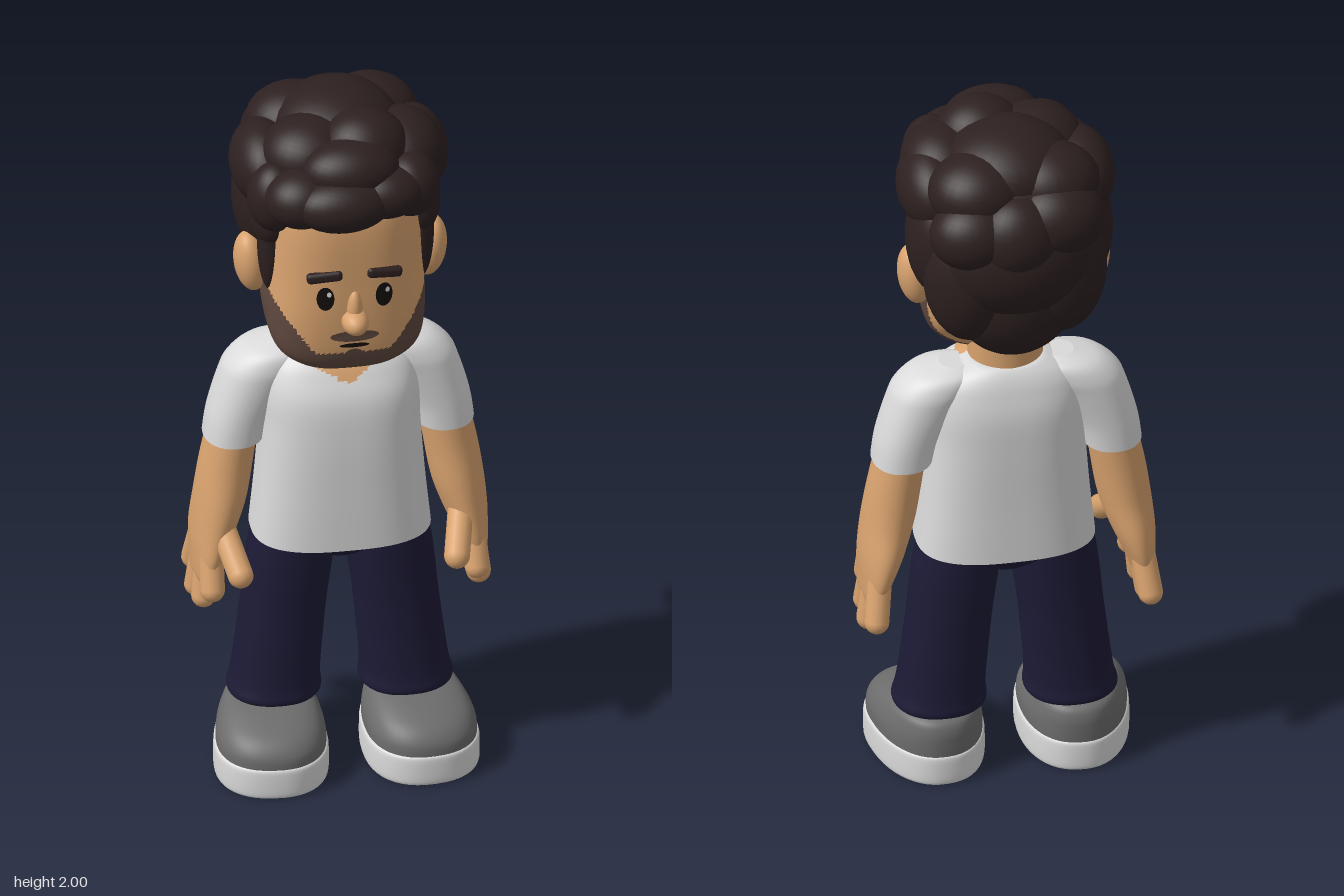
import * as THREE from 'three';
import { RoundedBoxGeometry } from 'three/addons/geometries/RoundedBoxGeometry.js';

const flat = (name, color) => Object.assign(new THREE.MeshStandardMaterial({ color }), { name });

export function createModel() {
  const root = new THREE.Group();
  root.name = 'standingMan';
  const skin = flat('skin', 0xd8a26e), hair = flat('hair', 0x2d2020), beard = flat('beard', 0x5f483e);
  const white = flat('white cotton', 0xdadada), navy = flat('navy denim', 0x1d1b36);
  const grey = flat('grey suede', 0x6c6c6c), dark = flat('eye black', 0x140e0e);

  const add = (name, geometry, material, parent = root) => {
    const mesh = new THREE.Mesh(geometry, material);
    mesh.name = name;
    parent.add(mesh);
    return mesh;
  };

  // Smooth body from stacked sections [y, centreX, radiusX, centreZ, radiusZ] with power n.
  // An optional rule(x, y, z) sends a face to the second material.
  function loft(sections, n = 2, rule = null, cols = 48, sub = 6) {
    const rows = [];
    const at = (i) => sections[Math.min(Math.max(i, 0), sections.length - 1)];
    for (let i = 0; i < sections.length - 1; i++) {
      for (let k = 0; k < sub; k++) {
        const t = k / sub;
        rows.push(at(i).map((p1, c) => {
          const p0 = at(i - 1)[c], p2 = at(i + 1)[c], p3 = at(i + 2)[c];
          return p1 + 0.5 * t * (p2 - p0 + t * (2 * p0 - 5 * p1 + 4 * p2 - p3 + t * (3 * (p1 - p2) + p3 - p0)));
        }));
      }
    }
    rows.push(at(sections.length - 1));
    // Repeated end rows keep the caps crisp
    const first = rows[0], last = rows[rows.length - 1];
    const point = ([y, cx, , cz]) => [y, cx, 0, cz, 0];
    const all = [point(first), first, ...rows, last, point(last)];
    const pos = [], faces = [[], []];
    const pow = (v) => Math.sign(v) * Math.abs(v) ** (2 / n);
    for (const [y, cx, rx, cz, rz] of all) {
      for (let j = 0; j < cols; j++) {
        const a = (j / cols) * Math.PI * 2;
        pos.push(cx + rx * pow(Math.cos(a)), y, cz + rz * pow(Math.sin(a)));
      }
    }
    const put = (...f) => {
      const mid = [0, 1, 2].map((c) => (pos[f[0] * 3 + c] + pos[f[1] * 3 + c] + pos[f[2] * 3 + c]) / 3);
      faces[rule && rule(...mid) ? 1 : 0].push(...f);
    };
    for (let i = 0; i < all.length - 1; i++) {
      for (let j = 0; j < cols; j++) {
        const a = i * cols + j, b = i * cols + (j + 1) % cols;
        put(a, a + cols, b);
        put(b, a + cols, b + cols);
      }
    }
    const g = new THREE.BufferGeometry();
    g.setAttribute('position', new THREE.Float32BufferAttribute(pos, 3));
    g.setIndex([...faces[0], ...faces[1]]);
    if (rule) {
      g.addGroup(0, faces[0].length, 0);
      g.addGroup(faces[0].length, faces[1].length, 1);
    }
    g.computeVertexNormals();
    return g;
  }

  const blob = (name, [x, y, z, rx, ry, rz], material, parent) => {
    const mesh = add(name, new THREE.SphereGeometry(1, 28, 20), material, parent);
    mesh.position.set(x, y, z);
    mesh.scale.set(rx, ry, rz);
    return mesh;
  };

  // Rounded finger between two points
  const finger = (name, a, b, r, parent) => {
    const from = new THREE.Vector3(...a), to = new THREE.Vector3(...b), dir = to.clone().sub(from);
    const mesh = add(name, new THREE.CapsuleGeometry(r, dir.length(), 8, 16), skin, parent);
    mesh.position.copy(from).add(to).multiplyScalar(0.5);
    mesh.quaternion.setFromUnitVectors(new THREE.Vector3(0, 1, 0), dir.normalize());
  };

  // Head with a beard that climbs the jaw
  const isBeard = (x, y, z) => z > -0.02 && y < 1.345 + Math.max(0, Math.abs(x) - 0.1) * 1.35;
  const head = add('head', loft([
    [1.27, 0, 0.09, 0.11, 0.07], [1.285, 0, 0.145, 0.1, 0.11], [1.33, 0, 0.195, 0.088, 0.143],
    [1.42, 0, 0.213, 0.05, 0.193], [1.55, 0, 0.21, 0.02, 0.228], [1.75, 0, 0.2, 0, 0.245],
    [1.85, 0, 0.17, 0, 0.19], [1.9, 0, 0.1, 0, 0.1],
  ], 2.8, isBeard, 96, 12), [skin, beard]);
  add('neck', loft([[1.15, 0, 0.11, -0.01, 0.1], [1.25, 0, 0.1, -0.01, 0.095], [1.4, 0, 0.1, -0.01, 0.1]]), skin);

  // Thin face details laid on the head surface
  const ray = new THREE.Raycaster();
  head.updateMatrixWorld();
  function decal(name, x, y, w, h, material, lift = 0.004) {
    const g = new THREE.CircleGeometry(1, 28).scale(w / 2, h / 2, 1).translate(x, y, 0);
    const p = g.attributes.position;
    for (let i = 0; i < p.count; i++) {
      ray.set(new THREE.Vector3(p.getX(i), p.getY(i), 2), new THREE.Vector3(0, 0, -1));
      const hit = ray.intersectObject(head)[0];
      p.setZ(i, (hit ? hit.point.z : 0.24) + lift);
    }
    g.computeVertexNormals();
    add(name, g, material);
  }
  decal('moustache', 0, 1.402, 0.13, 0.035, beard);
  decal('mouth', 0, 1.372, 0.08, 0.014, dark);
  decal('goatee', 0, 1.33, 0.06, 0.06, beard);
  blob('noseTip', [0, 1.452, 0.252, 0.036, 0.034, 0.05], skin);
  blob('noseBridge', [0, 1.485, 0.238, 0.022, 0.06, 0.03], skin);
  for (const s of [1, -1]) {
    decal('eye', s * 0.078, 1.525, 0.046, 0.072, dark);
    decal('eyeGlint', s * 0.078 + 0.009, 1.54, 0.012, 0.016, white, 0.007);
    const brow = add('eyebrow', new RoundedBoxGeometry(0.095, 0.03, 0.024, 3, 0.011), hair);
    brow.position.set(s * 0.08, 1.592, 0.243);
    brow.rotation.set(0, s * 0.1, -s * 0.1);
    const ear = blob('ear', [s * 0.238, 1.52, 0.015, 0.045, 0.088, 0.056], skin);
    ear.rotation.z = -s * 0.12;
  }

  // Hair: overlapping curls [x, y, z, rx, ry, rz]
  const curls = [
    [0, 1.7, -0.07, 0.25, 0.25, 0.22], [0, 1.53, -0.13, 0.17, 0.185, 0.125],
    [0, 1.68, -0.17, 0.21, 0.18, 0.14], [0.12, 1.77, -0.2, 0.12, 0.1, 0.1],
    [-0.1, 1.79, -0.19, 0.13, 0.11, 0.11], [0.01, 1.76, -0.22, 0.12, 0.12, 0.1],
    [0, 1.88, -0.05, 0.17, 0.115, 0.17], [0.05, 1.89, 0.09, 0.12, 0.105, 0.11],
    [-0.09, 1.87, 0.06, 0.13, 0.1, 0.12], [0.16, 1.85, 0.04, 0.11, 0.1, 0.13],
    [0.1, 1.86, -0.13, 0.13, 0.1, 0.12], [-0.1, 1.86, -0.12, 0.13, 0.1, 0.12],
    [-0.03, 1.81, 0.24, 0.13, 0.075, 0.08], [-0.13, 1.81, 0.19, 0.1, 0.08, 0.09],
    [0.09, 1.82, 0.21, 0.1, 0.07, 0.08], [0.16, 1.81, 0.16, 0.08, 0.09, 0.09],
    [0, 1.88, 0.18, 0.13, 0.08, 0.09], [-0.19, 1.78, 0.12, 0.075, 0.1, 0.08],
  ];
  for (const s of [1, -1]) {
    curls.push(
      [s * 0.2, 1.68, -0.06, 0.075, 0.16, 0.12], [s * 0.2, 1.81, -0.01, 0.09, 0.11, 0.14],
      [s * 0.2, 1.63, 0.1, 0.035, 0.15, 0.04], [s * 0.12, 1.61, -0.14, 0.125, 0.2, 0.12],
      [s * 0.2, 1.71, 0.07, 0.055, 0.1, 0.09],
    );
  }
  const hairdo = new THREE.Group();
  hairdo.name = 'hair';
  root.add(hairdo);
  curls.forEach((c) => blob('curl', c, hair, hairdo));

  // T-shirt body with an open neckline
  add('shirt', loft([
    [0.69, 0, 0.238, 0.008, 0.163], [0.85, 0, 0.222, 0.008, 0.163], [1.02, 0, 0.21, 0.006, 0.163],
    [1.13, 0, 0.208, 0.002, 0.157], [1.2, 0, 0.195, -0.006, 0.135], [1.24, 0, 0.16, -0.012, 0.115],
    [1.265, 0, 0.11, -0.015, 0.095], [1.27, 0, 0.09, -0.015, 0.08],
  ], 2.7, (x, y, z) => z > 0 && y > 1.185 + Math.abs(x) * 0.55, 96, 8), [white, skin]);
  add('hips', loft([
    [0.62, 0, 0.06, 0, 0.08], [0.66, 0, 0.18, 0, 0.108], [0.72, 0, 0.225, 0, 0.118], [0.8, 0, 0.2, 0, 0.115],
  ], 2.5), navy);

  for (const s of [1, -1]) {
    const side = s > 0 ? 'left' : 'right';
    const limb = (sections, n) => loft(sections.map(([y, x, ...r]) => [y, s * x, ...r]), n);

    // Sleeve, arm and hand
    add(side + 'Sleeve', limb([
      [0.975, 0.28, 0.08, -0.02, 0.095], [1.05, 0.265, 0.084, -0.02, 0.096], [1.15, 0.225, 0.096, -0.02, 0.097],
      [1.2, 0.195, 0.104, -0.02, 0.095], [1.24, 0.165, 0.086, -0.02, 0.08], [1.26, 0.14, 0.04, -0.02, 0.04],
    ], 2.2), white);
    const arm = new THREE.Group();
    arm.name = side + 'Arm';
    root.add(arm);
    add('forearmAndPalm', limb([
      [0.55, 0.362, 0.015, -0.015, 0.07], [0.57, 0.36, 0.032, -0.015, 0.1], [0.63, 0.35, 0.045, -0.018, 0.115],
      [0.7, 0.335, 0.06, -0.02, 0.112], [0.79, 0.316, 0.07, -0.015, 0.098], [0.9, 0.298, 0.071, -0.018, 0.085],
      [1.03, 0.275, 0.066, -0.02, 0.078],
    ]), skin, arm);
    const tips = [[0.352, 0.555, 0.088], [0.366, 0.505, 0.03], [0.372, 0.495, -0.045], [0.366, 0.53, -0.125]];
    tips.forEach(([x, y, z], i) =>
      finger('finger', [s * 0.35, 0.65, 0.05 - i * 0.045], [s * x, y, z], 0.033, arm));
    finger('thumb', [s * 0.315, 0.71, 0.05], [s * 0.288, 0.632, 0.152], 0.034, arm);

    // Trouser leg with a slightly flared cuff
    add(side + 'Leg', limb([
      [0.19, 0.175, 0.118, 0.003, 0.112], [0.205, 0.175, 0.125, 0.003, 0.118], [0.26, 0.17, 0.117, 0.002, 0.112],
      [0.45, 0.15, 0.113, 0, 0.108], [0.6, 0.133, 0.115, 0, 0.11], [0.74, 0.115, 0.11, 0, 0.11],
    ], 2.2), navy);

    // Shoe, narrower at the heel and turned slightly outward
    const shoe = new THREE.Group();
    shoe.name = side + 'Shoe';
    shoe.position.set(s * 0.195, 0, 0.065);
    shoe.rotation.y = s * 0.1;
    root.add(shoe);
    const taper = (g) => {
      const p = g.attributes.position;
      for (let i = 0; i < p.count; i++) p.setX(i, p.getX(i) * (0.98 + 0.6 * p.getZ(i)));
      g.computeVertexNormals();
      return g;
    };
    add('sole', taper(loft([
      [0, 0, 0.143, 0, 0.195], [0.012, 0, 0.152, 0, 0.204], [0.075, 0, 0.152, 0, 0.204], [0.088, 0, 0.146, 0, 0.198],
    ], 2.3)), white, shoe);
    add('upper', taper(loft([
      [0.08, 0, 0.146, 0, 0.199], [0.12, 0, 0.145, -0.003, 0.197], [0.155, 0, 0.134, -0.018, 0.18],
      [0.182, 0, 0.115, -0.045, 0.14], [0.197, 0, 0.08, -0.06, 0.09],
    ], 2.3)), grey, shoe);
  }
  return root;
}
